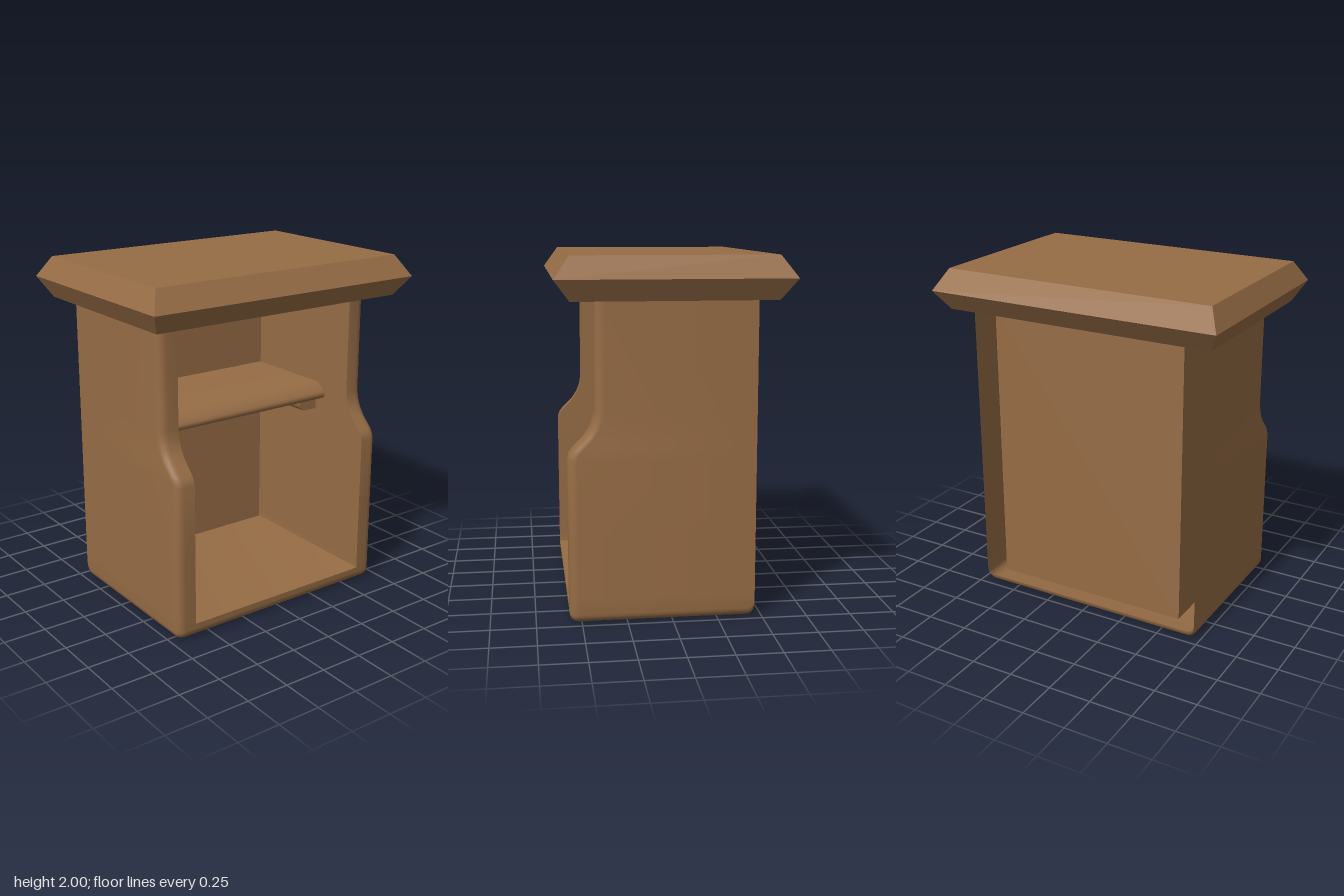
import * as THREE from 'three';
import { toCreasedNormals } from 'three/addons/utils/BufferGeometryUtils.js';

const wood = new THREE.MeshStandardMaterial({ color: 0x966c45, side: THREE.DoubleSide });
wood.name = 'brown wood';

const BACK = -0.46, PANEL_Z = -0.42, TOP = 1.77, HALF_W = 0.717, ROUND = 0.05;

// Front edge of the side walls, from top to bottom: [y, z]
const FRONT = [[TOP, 0.417], [1.18, 0.417], [1.13, 0.425], [1.08, 0.443], [1.03, 0.475],
  [0.965, 0.54], [0.94, 0.558], [0.91, 0.567], [0.5, 0.567], [0.14, 0.567]];

// U-shaped section, inset from the outside; returns [x, y, front z]
function uSection(insetX, insetY) {
  const r = Math.max(ROUND - insetX, 0.002), w = HALF_W - insetX;
  const half = FRONT.map(([y, z]) => [w, y, z]);
  for (let k = 0; k <= 5; k++) {
    const a = (k / 5) * Math.PI / 2;
    half.push([w - r + r * Math.cos(a), insetY + r - r * Math.sin(a), 0.567]);
  }
  return [...half, ...half.map(([x, y, z]) => [-x, y, z]).reverse()];
}

// Outer shell, rounded front rim and inner walls as one loft; open at the back
function cabinetGeometry() {
  const rows = [];
  const addRow = (ix, iy, zOf) => rows.push(uSection(ix, iy).map(([x, y, z]) => [x, y, zOf(z)]));
  for (let k = 0; k <= 4; k++) {
    const a = (k / 4) * Math.PI / 2;
    addRow(0, 0.04 * (1 - Math.sin(a)), () => BACK + 0.04 * (1 - Math.cos(a)));
  }
  for (let k = 0; k <= 5; k++) {
    const a = (k / 5) * Math.PI / 2, inset = ROUND * (1 - Math.cos(a));
    addRow(inset, inset, z => z - ROUND * (1 - Math.sin(a)));
  }
  addRow(HALF_W - 0.6, 0.08, z => z);
  addRow(HALF_W - 0.6, 0.08, () => PANEL_Z);

  const n = rows[0].length, index = [];
  for (let j = 0; j < rows.length - 1; j++) {
    for (let i = 0; i < n - 1; i++) {
      const a = j * n + i, b = a + n;
      index.push(a, b, a + 1, b, b + 1, a + 1);
    }
  }
  const g = new THREE.BufferGeometry();
  g.setAttribute('position', new THREE.Float32BufferAttribute(rows.flat(2), 3));
  g.setIndex(index);
  return toCreasedNormals(g, 0.6);
}

// Slab with a pointed edge all round
function roofGeometry() {
  const g = new THREE.BoxGeometry(2, 2, 2, 1, 2, 1);
  const p = g.attributes.position;
  for (let i = 0; i < p.count; i++) {
    const y = p.getY(i), mid = Math.abs(y) < 0.5;
    p.setXYZ(i, p.getX(i) * (mid ? 0.875 : 0.81), 1.88 + y * (y > 0 ? 0.12 : 0.115),
      p.getZ(i) * (mid ? 0.635 : 0.55));
  }
  return toCreasedNormals(g, 0.4);
}

// Shelf with a rounded nose, extruded across the cabinet
function shelfGeometry() {
  const s = new THREE.Shape();
  s.moveTo(PANEL_Z, 1.085);
  s.lineTo(0.19, 1.085);
  s.quadraticCurveTo(0.225, 1.09, 0.22, 1.12);
  s.quadraticCurveTo(0.205, 1.15, 0.15, 1.18);
  s.lineTo(PANEL_Z, 1.18);
  const g = new THREE.ExtrudeGeometry(s, { depth: 1.2, bevelEnabled: false, curveSegments: 5 });
  g.rotateY(-Math.PI / 2).translate(0.6, 0, 0);
  return toCreasedNormals(g, 0.6);
}

// Shelf support with a rounded lower inner corner
function bracketGeometry(side) {
  const s = new THREE.Shape();
  s.moveTo(side * 0.6, 1.085);
  s.lineTo(side * 0.475, 1.085);
  s.lineTo(side * 0.475, 1.045);
  s.quadraticCurveTo(side * 0.478, 1.007, side * 0.515, 1.005);
  s.lineTo(side * 0.6, 1.005);
  const g = new THREE.ExtrudeGeometry(s, { depth: 0.56, bevelEnabled: false, curveSegments: 5 });
  g.translate(0, 0, PANEL_Z);
  return toCreasedNormals(g, 0.6);
}

export function createModel() {
  const model = new THREE.Group();
  model.name = 'nightstand';
  const add = (name, geometry) => {
    const mesh = new THREE.Mesh(geometry, wood);
    mesh.name = name;
    model.add(mesh);
  };
  add('cabinet', cabinetGeometry());
  add('backPanel', new THREE.PlaneGeometry(1.2, TOP - 0.08).translate(0, (TOP + 0.08) / 2, PANEL_Z));
  add('tableTop', roofGeometry());
  add('shelf', shelfGeometry());
  add('leftBracket', bracketGeometry(1));
  add('rightBracket', bracketGeometry(-1));
  return model;
}
